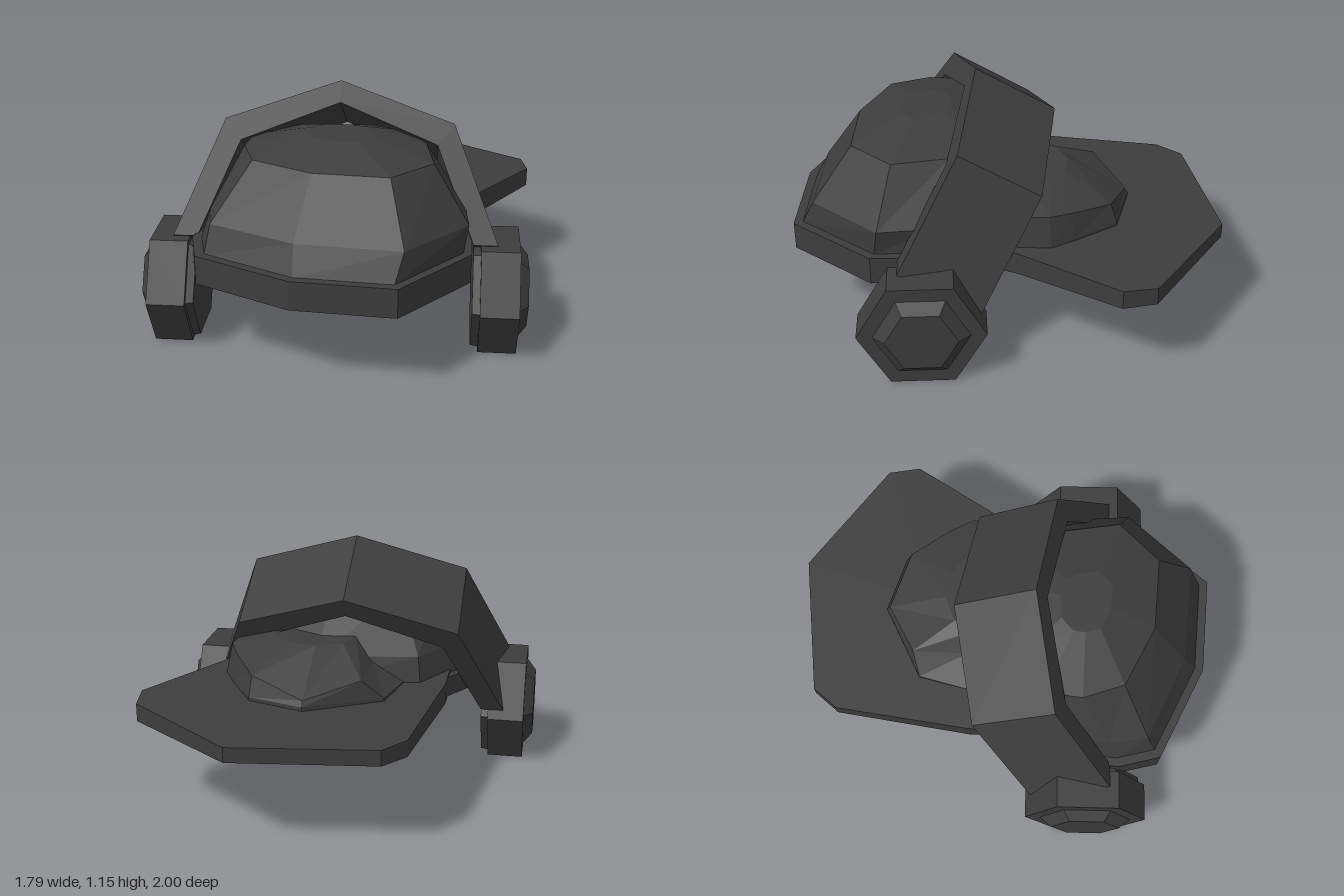
import * as THREE from 'three';

const material = new THREE.MeshStandardMaterial({ color: 0x3d3d3d, flatShading: true });

// Skin a stack of [x, z] loops (counter-clockwise seen from above), closing both ends.
// Each level is { loop, y } where y is a number or a function of x and z.
function loft(levels) {
  const rings = levels.map(({ loop, y }) =>
    loop.map(([x, z]) => [x, typeof y === 'function' ? y(x, z) : y, z]));
  const n = rings[0].length;
  const positions = [];
  const tri = (a, b, c) => positions.push(...a, ...b, ...c);
  const middle = (ring) => [0, 1, 2].map((k) => ring.reduce((sum, p) => sum + p[k], 0) / n);
  const last = rings[rings.length - 1];
  const bottom = middle(rings[0]);
  const top = middle(last);
  for (let i = 0; i < n; i++) {
    const j = (i + 1) % n;
    for (let r = 0; r < rings.length - 1; r++) {
      const [a, b] = [rings[r], rings[r + 1]];
      tri(a[i], a[j], b[j]);
      tri(a[i], b[j], b[i]);
    }
    tri(bottom, rings[0][j], rings[0][i]);
    tri(top, last[i], last[j]);
  }
  const geometry = new THREE.BufferGeometry();
  geometry.setAttribute('position', new THREE.Float32BufferAttribute(positions, 3));
  geometry.computeVertexNormals();
  return geometry;
}

const scaleLoop = (loop, s, cx, cz) => loop.map(([x, z]) => [cx + (x - cx) * s, cz + (z - cz) * s]);

function part(name, geometry, parent) {
  const mesh = new THREE.Mesh(geometry, material);
  mesh.name = name;
  parent.add(mesh);
  return mesh;
}

function buildCap() {
  const cap = new THREE.Group();
  cap.name = 'cap';

  // Band around the base of the cap
  const rim = [[-0.61, 0.75], [-0.17, 0.965], [0.29, 1], [0.595, 0.635], [0.6, 0.35],
    [0.5, -0.08], [0.12, -0.3], [-0.4, -0.2], [-0.6, 0.1], [-0.66, 0.55]];
  part('capRim', loft([
    { loop: rim, y: (x, z) => (z < 0.5 ? 0.43 : 0.39) },
    { loop: rim, y: 0.525 },
  ]), cap);

  // Faceted dome
  const lower = [[-0.55, 0.68], [-0.16, 0.86], [0.31, 0.9], [0.58, 0.6], [0.56, 0.34],
    [0.46, -0.04], [0.11, -0.22], [-0.36, -0.14], [-0.54, 0.13], [-0.58, 0.5]];
  const upper = [[-0.375, 0.55], [-0.1, 0.69], [0.24, 0.715], [0.42, 0.53], [0.38, 0.27],
    [0.3, 0.1], [0.08, 0.03], [-0.25, 0.05], [-0.42, 0.2], [-0.44, 0.36]];
  part('crown', loft([
    { loop: scaleLoop(rim, 0.94, 0, 0.35), y: 0.52 },
    { loop: lower, y: 0.65 },
    { loop: upper, y: 0.905 },
    { loop: scaleLoop(upper, 0.35, 0, 0.37), y: 0.98 },
  ]), cap);

  // Low rear panel rising from the brim, steepest at its sides
  const panel = [[-0.3, 0.1], [0.55, 0.1], [0.56, -0.18], [0.5, -0.29],
    [0.37, -0.5], [0.105, -0.585], [-0.24, -0.41], [-0.3, -0.17]];
  const panelMid = [[-0.15, 0.1], [0.52, 0.1], [0.53, -0.17], [0.48, -0.28],
    [0.36, -0.47], [0.105, -0.57], [-0.14, -0.44], [-0.15, -0.18]];
  const panelTop = [[-0.05, 0.1], [0.34, 0.1], [0.34, -0.12], [0.3, -0.2],
    [0.22, -0.27], [0.1, -0.29], [-0.02, -0.24], [-0.06, -0.12]];
  part('rearPanel', loft([
    { loop: panel, y: 0.5 },
    { loop: panel, y: 0.535 },
    { loop: panelMid, y: (x) => 0.56 + 0.27 * Math.abs(x - 0.1) },
    { loop: panelTop, y: 0.73 },
  ]), cap);

  // Brim, skewed towards the back left and slightly thinner at its edge
  const brim = [[-0.5, 0.1], [0.55, 0.1], [0.61, -0.03], [0.89, -0.465], [0.865, -0.62],
    [0.355, -1], [-0.305, -0.92], [-0.4, -0.805], [-0.495, -0.16]];
  part('brim', loft([
    { loop: brim, y: 0.43 },
    { loop: brim, y: (x, z) => 0.538 + 0.038 * z },
  ]), cap);
  return cap;
}

function buildHeadphones() {
  const headphones = new THREE.Group();
  headphones.name = 'headphones';
  headphones.position.x = -0.02;

  // Angular arch, extruded across its width and tilted forward
  const arch = new THREE.Shape([
    [-0.735, -0.74], [-0.625, -0.74], [-0.45, -0.29], [0, -0.104], [0.45, -0.29],
    [0.625, -0.74], [0.735, -0.74], [0.525, -0.19], [0, 0], [-0.525, -0.19],
  ].map(([x, y]) => new THREE.Vector2(x, y)));
  const band = part('headband',
    new THREE.ExtrudeGeometry(arch, { depth: 0.432, bevelEnabled: false }), headphones);
  band.rotation.x = -0.53;
  band.position.set(0, 0.935, -0.235);

  // Hexagonal ear cups: [name, inner radius, outer radius, inner x, outer x]
  const layers = [
    ['earPad', 0.26, 0.265, 0.625, 0.66],
    ['earCup', 0.292, 0.292, 0.66, 0.835],
    ['earCupCap', 0.22, 0.165, 0.835, 0.88],
  ];
  for (const side of [-1, 1]) {
    const cup = new THREE.Group();
    cup.name = side > 0 ? 'leftEarpiece' : 'rightEarpiece';
    cup.position.set(0, 0.253, 0.41);
    for (const [name, inner, outer, x0, x1] of layers) {
      const geometry = new THREE.CylinderGeometry(outer, inner, x1 - x0, 6);
      geometry.rotateZ(-side * Math.PI / 2);
      part(name, geometry, cup).position.x = side * (x0 + x1) / 2;
    }
    headphones.add(cup);
  }
  return headphones;
}

export function createModel() {
  const model = new THREE.Group();
  model.name = 'capWithHeadphones';
  model.add(buildCap(), buildHeadphones());
  return model;
}
